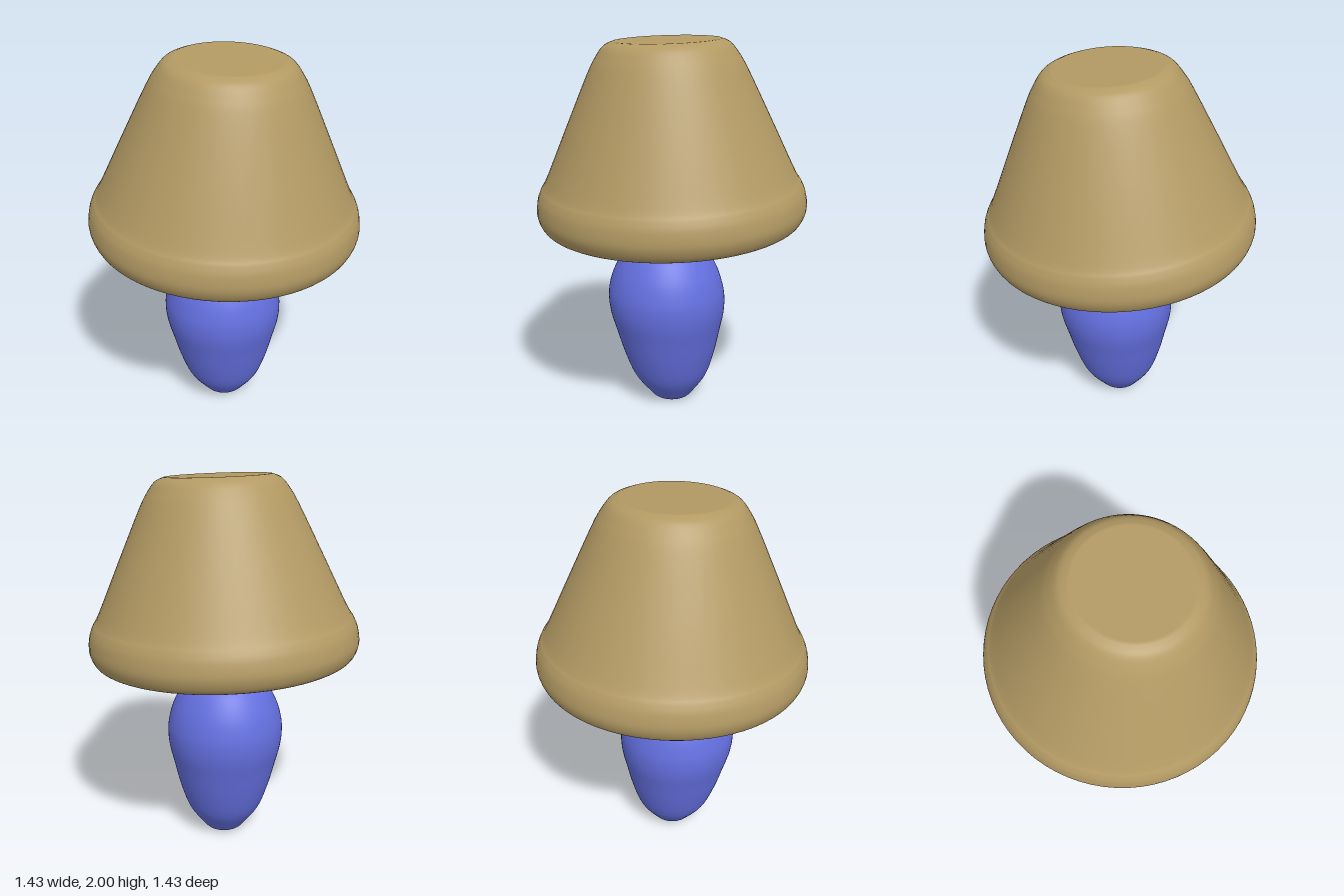
import * as THREE from 'three';

const material = (name, color) => {
  const m = new THREE.MeshStandardMaterial({ color });
  m.name = name;
  return m;
};

// Smooth curve through [radius, height] pairs, listed from bottom to top
const smooth = (pairs, count) =>
  new THREE.SplineCurve(pairs.map(([r, y]) => new THREE.Vector2(r, y))).getPoints(count);

function turned(name, points, mat) {
  for (const p of points) p.x = Math.max(p.x, 0);
  const mesh = new THREE.Mesh(new THREE.LatheGeometry(points, 72), mat);
  mesh.name = name;
  return mesh;
}

// Gentle forward lean of the egg-shaped base
function lean(mesh) {
  const pos = mesh.geometry.attributes.position;
  for (let i = 0; i < pos.count; i++) {
    const t = Math.min(1, pos.getY(i) / 0.7);
    pos.setZ(i, pos.getZ(i) + 0.035 * t);
  }
  pos.needsUpdate = true;
  return mesh;
}

export function createModel() {
  const group = new THREE.Group();
  const tan = material('tan shade', 0xb39a64);
  const blue = material('blue base', 0x6470e0);
  const grey = material('grey cap', 0x8a86a6);

  // Lamp shade: soft-edged cone with closed ends, slightly tilted
  const side = smooth([
    [0.61, 0], [0.66, 0.008], [0.693, 0.033], [0.713, 0.09], [0.705, 0.16], [0.685, 0.21],
    [0.65, 0.27], [0.53, 0.53], [0.408, 0.79], [0.36, 0.875], [0.32, 0.925], [0.275, 0.946],
  ], 60);
  const shade = turned('lampShade', [
    new THREE.Vector2(0, 0), new THREE.Vector2(0.6, 0),
    ...side,
    new THREE.Vector2(0.265, 0.947), new THREE.Vector2(0, 0.947),
  ], tan);
  shade.position.set(-0.003, 1.038, -0.003);
  shade.rotation.set(0.045, 0, -0.045);
  group.add(shade);

  // Egg-shaped base with a flat foot
  const body = smooth([
    [0.08, 0.004], [0.105, 0.015], [0.135, 0.05], [0.205, 0.15], [0.252, 0.28], [0.288, 0.42],
    [0.312, 0.52], [0.319, 0.6], [0.312, 0.67], [0.285, 0.76], [0.235, 0.85], [0.178, 0.908],
  ], 60);
  group.add(lean(turned('base', [
    new THREE.Vector2(0, 0), new THREE.Vector2(0.07, 0.001), ...body,
  ], blue)));

  // Grey crown of the base
  group.add(lean(turned('baseCap', smooth([
    [0.178, 0.908], [0.14, 0.938], [0.1, 0.959], [0.05, 0.973], [0, 0.976],
  ], 16), grey)));

  return group;
}
